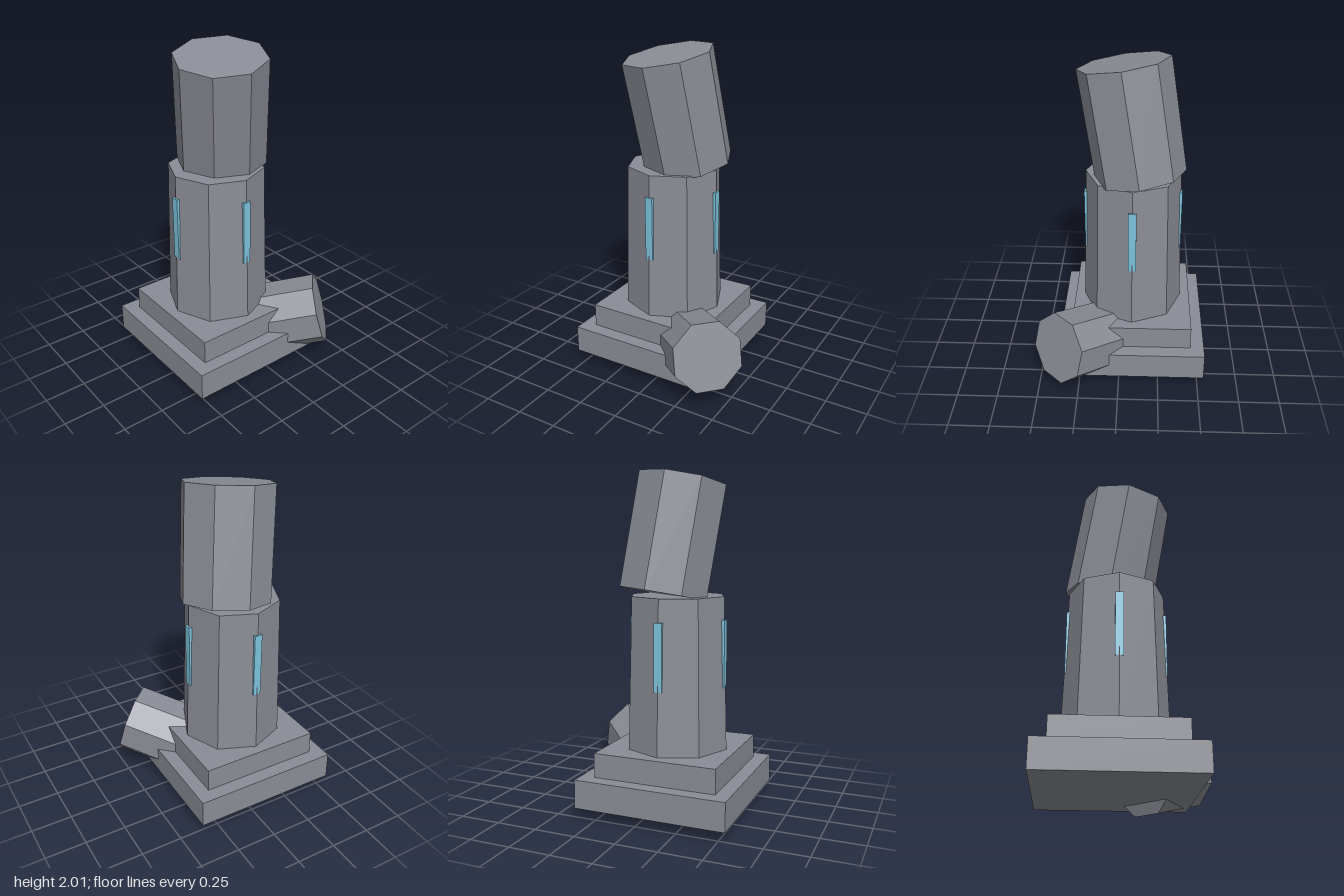
import * as THREE from 'three';

const stone = new THREE.MeshStandardMaterial({ color: 0x8b8d96 });
stone.name = 'grey stone';
const glow = new THREE.MeshStandardMaterial({ color: 0x7cc4de });
glow.name = 'pale blue';

// Adds a named, flat-faced mesh to a parent
function add(parent, name, geometry, material, x, y, z) {
  const flat = geometry.toNonIndexed();
  flat.computeVertexNormals();
  const mesh = new THREE.Mesh(flat, material);
  mesh.name = name;
  mesh.position.set(x, y, z);
  parent.add(mesh);
  return mesh;
}

export function createModel() {
  const model = new THREE.Group();
  model.name = 'brokenPillar';

  // Everything standing upright shares one axis
  const upright = new THREE.Group();
  upright.name = 'standingPillar';
  upright.position.set(-0.091, 0, -0.078);
  model.add(upright);

  // Stepped plinth
  add(upright, 'lowerStep', new THREE.BoxGeometry(0.916, 0.17, 0.916), stone, 0, 0.155, 0);
  add(upright, 'upperStep', new THREE.BoxGeometry(0.745, 0.145, 0.745), stone, 0, 0.3125, 0);

  // Tapered eight-sided shaft
  add(upright, 'shaft', new THREE.CylinderGeometry(0.288, 0.312, 0.905, 8), stone, 0, 0.8375, 0);

  // Glowing strips on four corners of the shaft
  for (let i = 0; i < 4; i++) {
    const angle = (i * Math.PI) / 2;
    const strip = add(upright, 'glowStrip', new THREE.BoxGeometry(0.048, 0.395, 0.02), glow,
      Math.sin(angle) * 0.29, 0.9575, Math.cos(angle) * 0.29);
    strip.rotation.y = angle;
  }

  // Leaning broken drum on top
  const drum = add(model, 'leaningDrum', new THREE.CylinderGeometry(0.273, 0.273, 0.673, 8), stone,
    -0.056, 1.627, -0.069);
  drum.rotation.set(0.158, 0, 0.116);

  // Fallen drum lying against the plinth, flat side up
  const fallen = new THREE.CylinderGeometry(0.22, 0.22, 0.43, 8).rotateY(Math.PI / 8);
  const chunk = add(model, 'fallenDrum', fallen, stone, 0.248, 0.255, 0.224);
  chunk.rotation.set(Math.PI / 2 - 0.268, 0.8, 0, 'YXZ');

  return model;
}
